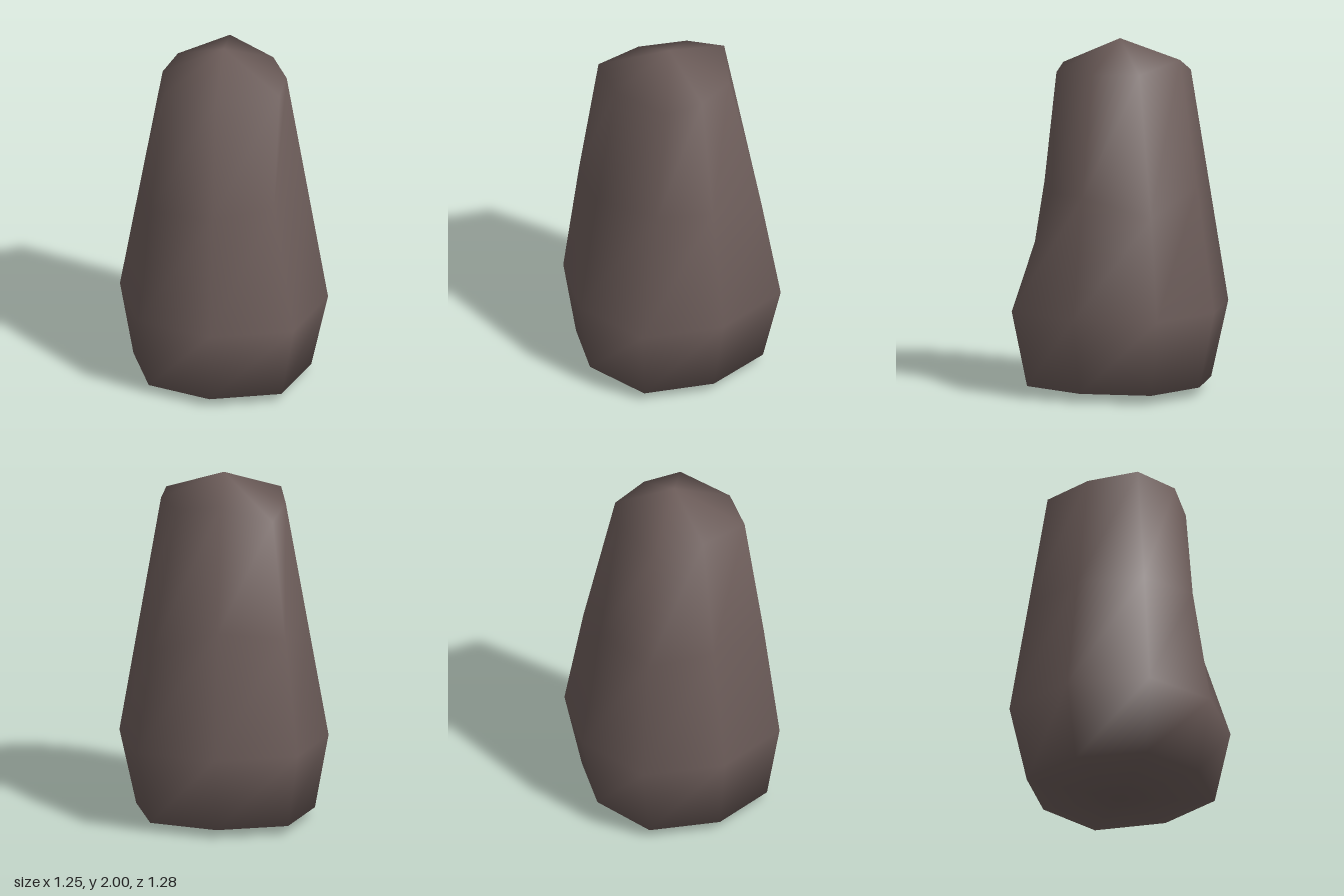
import * as THREE from 'three';

// Plan of the widest ring [x, z], from the back round by the left side
const WAIST = [[0.03, -0.64], [0.43, -0.38], [0.62, 0.05], [0.36, 0.45],
  [-0.07, 0.64], [-0.47, 0.38], [-0.63, -0.04], [-0.40, -0.45]];
// Shoulder ring under the peak [x, y, z]
const SHOULDER = [[0.01, 1.80, -0.42], [0.25, 1.90, -0.25], [0.325, 1.84, 0.03], [0.21, 1.84, 0.27],
  [0.03, 1.84, 0.41], [-0.29, 1.84, 0.23], [-0.43, 1.84, -0.04], [-0.24, 1.83, -0.27]];

export function createModel() {
  const stone = new THREE.MeshStandardMaterial({ color: 0x6e5e5b });
  stone.name = 'brown stone';

  const n = WAIST.length;
  const foot = WAIST.map(([x, z]) => [x * 0.86 - 0.015, 0.05, z * 0.85]);
  const waist = WAIST.map(([x, z]) => [x, 0.48, z]);
  // Middle ring lies between waist and shoulder
  const middle = waist.map((w, i) => w.map((v, k) => v + (SHOULDER[i][k] - v) * 0.5));
  middle[4] = [-0.02, 1.15, 0.42]; // hollow in the front face
  middle[2] = [0.51, 1.05, 0.04];
  middle[6] = [-0.54, 1.14, -0.04];

  const rings = [foot, waist, middle, SHOULDER];
  const points = [...rings.flat(), [-0.02, 0, 0], [-0.02, 2, 0]];
  const base = rings.length * n, peak = base + 1;

  // Skin the rings and close both ends with fans
  const index = [];
  for (let i = 0; i < n; i++) {
    const j = (i + 1) % n;
    index.push(base, i, j);
    for (let r = 0; r < rings.length - 1; r++) {
      const a = r * n + i, b = r * n + j;
      index.push(b, a, a + n, b, a + n, b + n);
    }
    const top = (rings.length - 1) * n;
    index.push(peak, top + j, top + i);
  }

  const geometry = new THREE.BufferGeometry();
  geometry.setAttribute('position', new THREE.Float32BufferAttribute(points.flat(), 3));
  geometry.setIndex(index);
  geometry.computeVertexNormals();

  const rock = new THREE.Mesh(geometry, stone);
  rock.name = 'standing rock';
  const group = new THREE.Group();
  group.name = 'rock';
  group.add(rock);
  return group;
}
